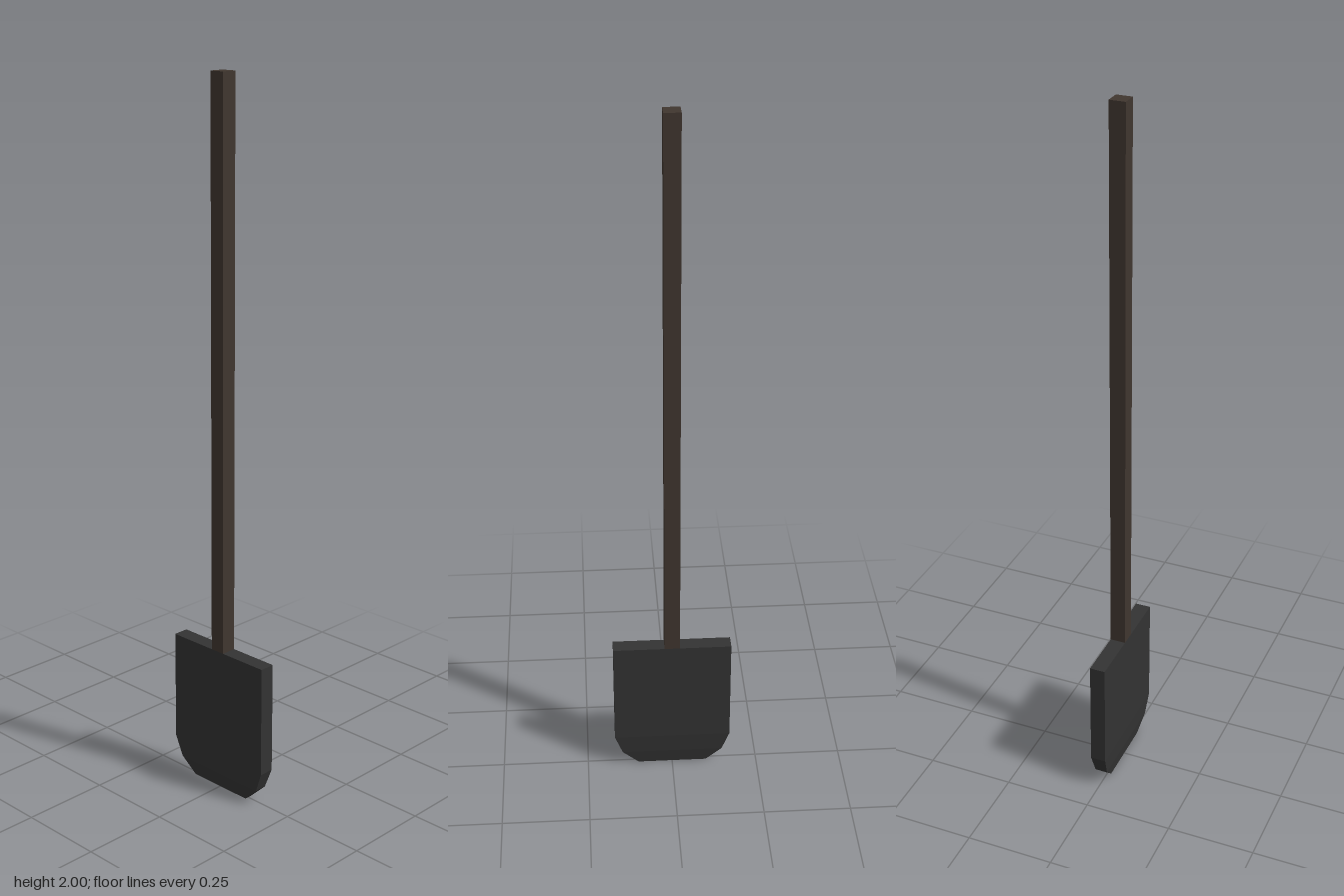
import * as THREE from 'three';

// Blade cross-sections from tip to top: [height, half width, half depth]
const SECTIONS = [
  [0, 0.1, 0.011],
  [0.045, 0.147, 0.018],
  [0.105, 0.169, 0.022],
  [0.425, 0.169, 0.022],
];

// Box whose horizontal rows are moved to the given cross-sections
function makeBlade(sections) {
  const rows = sections.length - 1;
  const geometry = new THREE.BoxGeometry(2, rows, 2, 1, rows, 1);
  const p = geometry.attributes.position;
  for (let i = 0; i < p.count; i++) {
    const [y, w, d] = sections[Math.round(p.getY(i) + rows / 2)];
    p.setXYZ(i, p.getX(i) * w, y, p.getZ(i) * d);
  }
  const flat = geometry.toNonIndexed();
  flat.computeVertexNormals();
  return flat;
}

export function createModel() {
  const group = new THREE.Group();
  group.name = 'shovel';

  // Flat blade with clipped lower corners and a thinner tip
  const blade = new THREE.Mesh(
    makeBlade(SECTIONS),
    new THREE.MeshStandardMaterial({ color: 0x333333, flatShading: true })
  );
  blade.name = 'blade';

  // Square wooden handle standing on the blade
  const handle = new THREE.Mesh(
    new THREE.BoxGeometry(0.044, 1.575, 0.044),
    new THREE.MeshStandardMaterial({ color: 0x40362f, flatShading: true })
  );
  handle.position.y = 0.425 + 1.575 / 2;
  handle.name = 'handle';

  group.add(blade, handle);
  return group;
}
